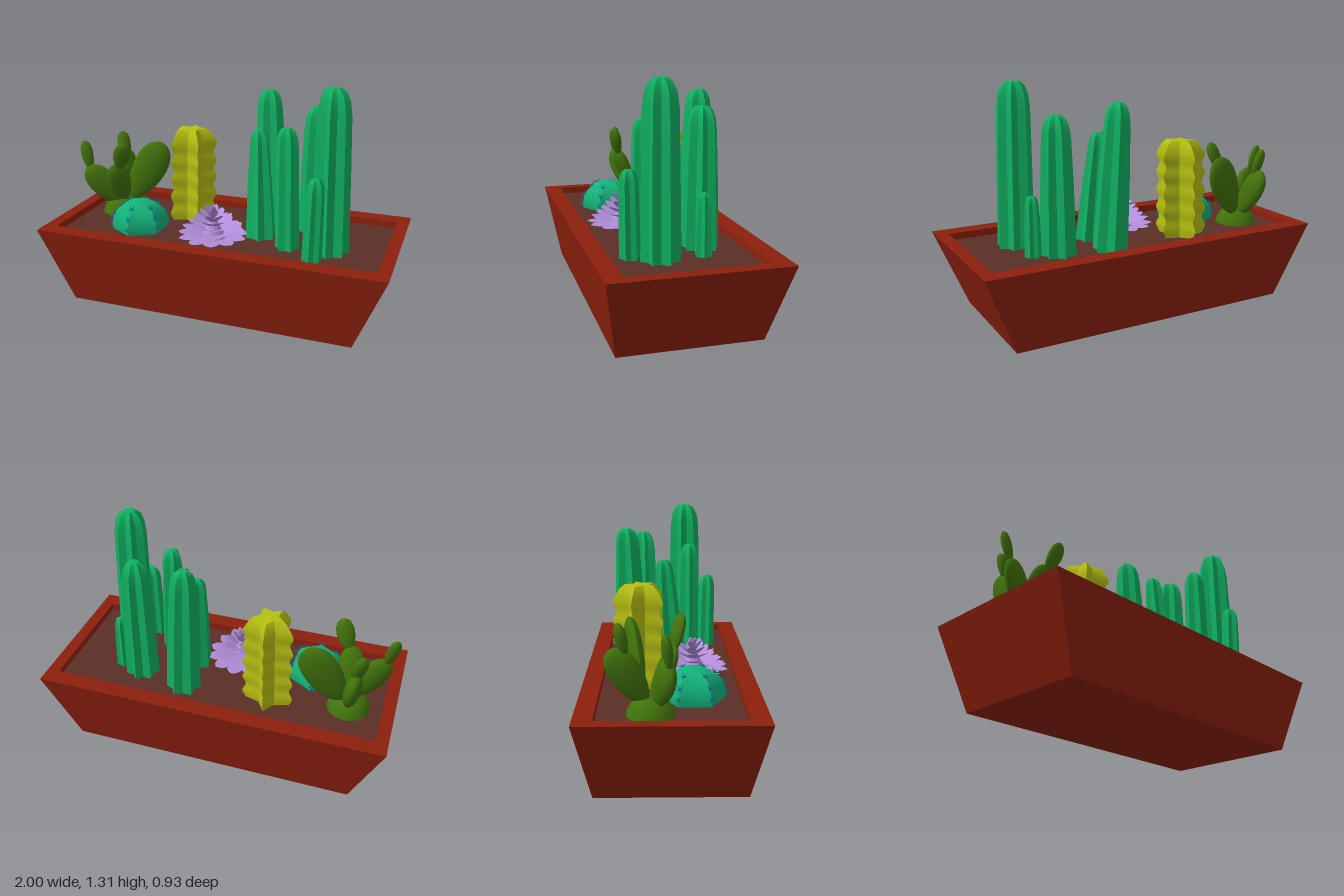
import * as THREE from 'three';
import { toCreasedNormals } from 'three/addons/utils/BufferGeometryUtils.js';

const SOIL = 0.4;

function makeMaterial(name, color, side = THREE.FrontSide) {
  const m = new THREE.MeshStandardMaterial({ color, side });
  m.name = name;
  return m;
}

// Stack of rectangles [halfX, halfZ, y] joined by quads
function rectLoft(rings) {
  const corners = [[-1, 1], [1, 1], [1, -1], [-1, -1]];
  const pos = [], index = [];
  for (const [hx, hz, y] of rings) for (const [sx, sz] of corners) pos.push(sx * hx, y, sz * hz);
  for (let r = 0; r < rings.length - 1; r++) {
    for (let i = 0; i < 4; i++) {
      const a = r * 4 + i, b = r * 4 + (i + 1) % 4;
      index.push(a, b, b + 4, a, b + 4, a + 4);
    }
  }
  const g = new THREE.BufferGeometry();
  g.setAttribute('position', new THREE.Float32BufferAttribute(pos, 3));
  g.setIndex(index);
  return toCreasedNormals(g, 0.3);
}

// Lathe with star-shaped cross-section; wave(y) swells the rib crests, lean shifts x and z with height
function ribbed(profile, ribs, valley, { start = 0, lean = [0, 0], wave = () => 1 } = {}) {
  const pts = profile.map(([r, y]) => new THREE.Vector2(r, y));
  const g = new THREE.LatheGeometry(pts, ribs * 2, start);
  const p = g.attributes.position, rows = pts.length;
  for (let i = 0; i < p.count; i++) {
    const y = p.getY(i);
    const k = Math.floor(i / rows) % 2 ? valley : wave(y);
    p.setXYZ(i, p.getX(i) * k + lean[0] * (y - SOIL), y, p.getZ(i) * k + lean[1] * (y - SOIL));
  }
  return toCreasedNormals(g, 0.4);
}

// Egg-shaped pad running from base to tip, flat side towards normal
const padGeometry = new THREE.SphereGeometry(0.5, 18, 14);
{
  const p = padGeometry.attributes.position;
  for (let i = 0; i < p.count; i++) {
    const k = 0.95 + 0.45 * p.getY(i);
    p.setX(i, p.getX(i) * k);
    p.setZ(i, p.getZ(i) * k);
  }
  padGeometry.computeVertexNormals();
}

function pad(base, tip, width, thick, normal, mat) {
  const a = new THREE.Vector3(...base), b = new THREE.Vector3(...tip);
  const up = b.clone().sub(a), len = up.length();
  up.normalize();
  const x = up.clone().cross(new THREE.Vector3(...normal)).normalize();
  const z = x.clone().cross(up);
  const mesh = new THREE.Mesh(padGeometry, mat);
  mesh.quaternion.setFromRotationMatrix(new THREE.Matrix4().makeBasis(x, up, z));
  mesh.scale.set(width, len, thick);
  mesh.position.copy(a).add(b).multiplyScalar(0.5);
  return mesh;
}

// Cupped pointed petal, unit length along -z
function petalGeometry() {
  const s = new THREE.Shape();
  s.moveTo(-0.1, 0);
  s.bezierCurveTo(-0.3, 0.35, -0.38, 0.8, 0, 1);
  s.bezierCurveTo(0.38, 0.8, 0.3, 0.35, 0.1, 0);
  const g = new THREE.ShapeGeometry(s, 6);
  const p = g.attributes.position;
  for (let i = 0; i < p.count; i++) p.setZ(i, 0.9 * p.getX(i) ** 2 + 0.12 * p.getY(i) ** 2);
  g.rotateX(-Math.PI / 2);
  g.computeVertexNormals();
  return g;
}

export function createModel() {
  const model = new THREE.Group();
  const terracotta = makeMaterial('terracotta', 0x8c200e);
  const earth = makeMaterial('earth', 0x5a2f26);
  const green = makeMaterial('columnGreen', 0x10b162);
  const teal = makeMaterial('domeGreen', 0x12b27a);
  const blue = makeMaterial('spineBlue', 0x1b7794);
  const yellow = makeMaterial('yellowGreen', 0xb6bf12);
  const olive = makeMaterial('padGreen', 0x41720c);
  const lilac = makeMaterial('lilac', 0xb28edb, THREE.DoubleSide);

  const add = (parent, name, geometry, mat, x = 0, y = 0, z = 0) => {
    const m = new THREE.Mesh(geometry, mat);
    m.name = name;
    m.position.set(x, y, z);
    parent.add(m);
    return m;
  };
  const addGroup = (name, x = 0, y = 0, z = 0) => {
    const g = new THREE.Group();
    g.name = name;
    g.position.set(x, y, z);
    model.add(g);
    return g;
  };

  // Planter and soil
  add(model, 'planter', rectLoft([[0, 0, 0], [0.825, 0.385, 0], [1, 0.465, 0.44],
    [0.93, 0.367, 0.44], [0.93, 0.367, 0.38]]), terracotta);
  add(model, 'soil', new THREE.BoxGeometry(1.86, 0.02, 0.734), earth, 0, SOIL - 0.01, 0);

  // Column cacti: x, z at soil, height, base radius, top radius, ribs, lean
  const columns = addGroup('columnCacti');
  const specs = [
    [0.63, 0.105, 1.31, 0.105, 0.093, 7, [-0.015, 0]],
    [0.485, -0.155, 1.15, 0.1, 0.08, 7, [0, 0]],
    [0.205, -0.215, 1.205, 0.1, 0.073, 6, [-0.045, -0.035]],
    [0.205, 0.015, 1.02, 0.092, 0.055, 6, [-0.05, -0.07]],
    [0.395, 0.13, 1.085, 0.07, 0.06, 6, [-0.02, 0]],
    [0.562, 0.245, 0.86, 0.056, 0.05, 6, [0.02, 0.02]],
    [0.62, -0.125, 0.73, 0.047, 0.038, 6, [0, 0]],
  ];
  specs.forEach(([x, z, h, r0, r1, ribs, lean], i) => {
    const profile = [[r0, SOIL - 0.01], [(r0 + r1) / 2, (SOIL + h) / 2], [r1, h - r1 * 1.6],
      [r1 * 0.9, h - r1 * 0.8], [r1 * 0.7, h - r1 * 0.3], [r1 * 0.42, h - r1 * 0.05], [0, h]];
    add(columns, 'column' + (i + 1), ribbed(profile, ribs, 0.72, { lean, start: i * 0.4 }), green, x, 0, z);
  });

  // Wavy five-ribbed cactus
  const wavy = [];
  for (let i = 0; i <= 30; i++) wavy.push([0.143 - 0.006 * i / 30, SOIL - 0.01 + 0.51 * i / 30]);
  wavy.push([0.115, 0.935], [0.08, 0.957], [0, 0.96]);
  add(model, 'wavyCactus', ribbed(wavy, 5, 0.55, {
    start: Math.PI, lean: [0.02, 0], wave: y => 1 + 0.075 * Math.sin(y * Math.PI * 2 / 0.105),
  }), yellow, -0.293, 0, -0.155);

  // Six-sided dome cactus with spine clusters along its ribs
  const dome = addGroup('domeCactus', -0.51, 0, 0.12);
  const domeProfile = [[0.16, 0.39], [0.167, 0.43], [0.158, 0.475], [0.136, 0.515], [0.098, 0.547], [0.05, 0.565], [0, 0.571]];
  add(dome, 'domeBody', toCreasedNormals(new THREE.LatheGeometry(
    domeProfile.map(p => new THREE.Vector2(...p)), 6), 0.5), teal);
  const spine = new THREE.ConeGeometry(0.0045, 0.034, 4).translate(0, 0.017, 0);
  for (let rib = 0; rib < 6; rib++) {
    [[0.165, 0.435, 1.45], [0.15, 0.49, 1.1], [0.105, 0.541, 0.6]].forEach(([r, y, tilt]) => {
      const cluster = new THREE.Group();
      cluster.name = 'spineCluster';
      const a = rib * Math.PI / 3;
      cluster.position.set(Math.sin(a) * r, y, Math.cos(a) * r);
      cluster.rotation.set(tilt, a, 0, 'YXZ');
      for (let k = 0; k < 5; k++) {
        const s = add(cluster, 'spine', spine, blue);
        s.rotation.set(1.1, k * Math.PI * 2 / 5, 0, 'YXZ');
      }
      dome.add(cluster);
    });
  }

  // Rosette succulent: count, length, tilt, base radius, base height, width
  const rosette = addGroup('rosette', -0.04, 0, 0.14);
  const petal = petalGeometry();
  add(rosette, 'rosetteCore', new THREE.ConeGeometry(0.085, 0.15, 12), lilac, 0, SOIL + 0.07, 0);
  [
    [11, 0.135, 0.02, 0.07, 0.41, 1.25],
    [10, 0.125, 0.14, 0.06, 0.435, 1.25],
    [9, 0.11, 0.25, 0.045, 0.46, 1.25],
    [8, 0.098, 0.4, 0.033, 0.485, 1.2],
    [7, 0.088, 0.6, 0.02, 0.505, 1.1],
    [5, 0.078, 0.9, 0.01, 0.525, 1],
    [4, 0.065, 1.2, 0.004, 0.535, 0.9],
  ].forEach(([count, len, tilt, r, y, width], ring) => {
    for (let i = 0; i < count; i++) {
      const a = (i + (ring % 2) / 2) * Math.PI * 2 / count + ring * 0.12;
      const p = add(rosette, 'petal', petal, lilac, -Math.sin(a) * r, y, -Math.cos(a) * r);
      p.rotation.set(tilt, a, 0, 'YXZ');
      p.scale.set(len * width, len, len);
    }
  });

  // Pad cactus: stump, four large pads and three young pads
  const padCactus = addGroup('padCactus');
  add(padCactus, 'stump', toCreasedNormals(new THREE.LatheGeometry(
    [[0.125, 0.39], [0.115, 0.43], [0.085, 0.475], [0, 0.495]].map(p => new THREE.Vector2(...p)), 16), 0.9),
  olive, -0.74, 0, -0.1);
  [
    ['rightPad', [-0.7, 0.47, -0.14], [-0.5, 0.83, -0.21], 0.215, 0.085, [0.2, 0, 1]],
    ['leftPad', [-0.73, 0.45, -0.08], [-0.92, 0.695, 0], 0.17, 0.085, [0.2, 0.2, 1]],
    ['frontPad', [-0.74, 0.45, -0.1], [-0.71, 0.735, 0.02], 0.15, 0.08, [0.3, -0.2, 1]],
    ['backPad', [-0.74, 0.45, -0.12], [-0.78, 0.74, -0.29], 0.17, 0.095, [1, 0, 0.15]],
    ['youngLeftPad', [-0.905, 0.67, -0.01], [-0.95, 0.85, -0.03], 0.075, 0.05, [0.5, 0, 1]],
    ['youngBackPad', [-0.765, 0.69, -0.22], [-0.805, 0.87, -0.25], 0.085, 0.06, [0.6, 0, 1]],
    ['youngFrontPad', [-0.7, 0.7, 0.01], [-0.635, 0.88, 0.05], 0.105, 0.06, [0.5, 0, 1]],
  ].forEach(([name, base, tip, width, thick, normal]) => {
    const m = pad(base, tip, width, thick, normal, olive);
    m.name = name;
    padCactus.add(m);
  });

  return model;
}
